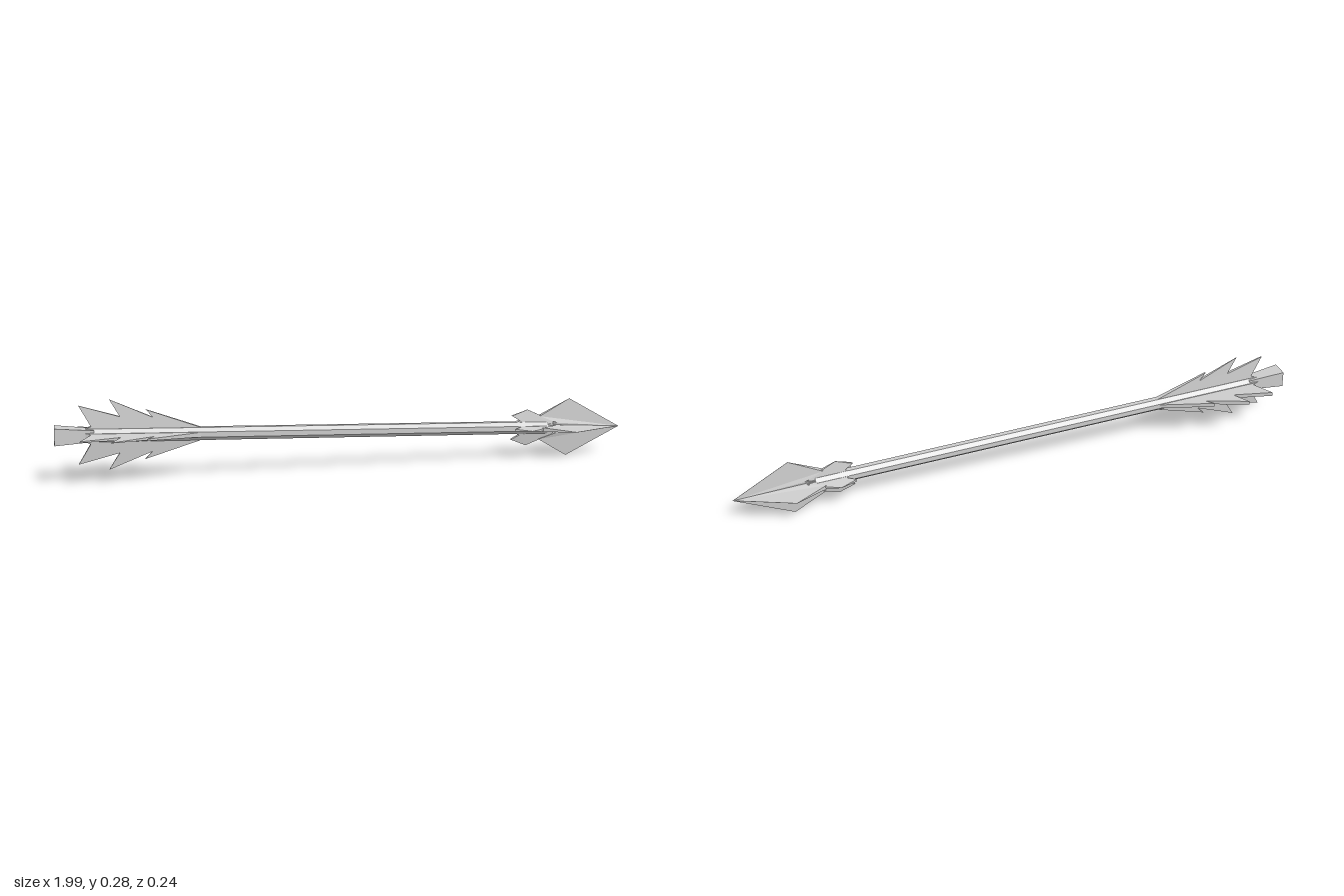
import * as THREE from 'three';

const material = new THREE.MeshStandardMaterial({ color: 0xcccccc, flatShading: true, side: THREE.DoubleSide });

function part(name, geometry) {
  const mesh = new THREE.Mesh(geometry, material);
  mesh.name = name;
  return mesh;
}

// Flat blade in the (length, radius) plane; halfThickness(x, r) shapes its section.
function bladeGeometry(outline, halfThickness) {
  const shape = new THREE.Shape(outline.map(([x, r]) => new THREE.Vector2(x, r)));
  const geometry = new THREE.ExtrudeGeometry(shape, { depth: 2, bevelEnabled: false });
  const p = geometry.attributes.position;
  for (let i = 0; i < p.count; i++) {
    p.setZ(i, (p.getZ(i) - 1) * halfThickness(p.getX(i), p.getY(i)));
  }
  geometry.computeVertexNormals();
  return geometry;
}

// Four blades around the shaft: +y, +z, -y, -z.
function cross(name, makeGeometry) {
  const group = new THREE.Group();
  group.name = name + 's';
  for (let k = 0; k < 4; k++) {
    const mesh = part(name, makeGeometry(k));
    mesh.rotation.x = k * Math.PI / 2;
    group.add(mesh);
  }
  return group;
}

// Prism along x from x0 to x1, with flat-to-flat half widths h0 and h1.
function prism(sides, x0, x1, h0, h1) {
  const c = Math.cos(Math.PI / sides);
  const geometry = new THREE.CylinderGeometry(h1 / c, h0 / c, x1 - x0, sides);
  geometry.rotateY(Math.PI / sides);
  geometry.rotateZ(-Math.PI / 2);
  return geometry.translate((x0 + x1) / 2, 0, 0);
}

export function createModel() {
  const arrow = new THREE.Group();
  arrow.name = 'arrow';

  arrow.add(part('shaft', prism(8, -0.95, 0.72, 0.022, 0.021)));
  arrow.add(part('nock', prism(4, -0.999, -0.87, 0.029, 0.019)));

  // Saw-toothed feathers; the one on the -z side keeps an even thickness.
  const feather = [
    [-0.5, 0], [-0.51, 0.02], [-0.7, 0.085], [-0.675, 0.058], [-0.82, 0.12],
    [-0.785, 0.062], [-0.92, 0.1], [-0.88, 0.03], [-0.92, 0.012], [-0.92, 0],
  ];
  arrow.add(cross('feather', (k) => bladeGeometry(feather,
    (x, r) => (k === 3 ? 0.007 : 0.01 * Math.max(0.08, 1 - r / 0.122)))));

  // Small barbs behind the head
  const barb = [
    [0.75, 0], [0.74, 0.024], [0.645, 0.065], [0.588, 0.043], [0.617, 0.026], [0.59, 0.014], [0.59, 0],
  ];
  arrow.add(cross('barb', () => bladeGeometry(barb,
    (x, r) => 0.012 * Math.max(0.06, 1 - r / 0.066))));

  // Four-bladed point, slightly taller than wide
  arrow.add(cross('headBlade', (k) => {
    const s = k % 2 ? 0.092 : 0.104;
    const head = [[0.996, 0], [0.8, s], [0.69, 0.042], [0.755, 0.018], [0.7, 0.01], [0.7, 0]];
    return bladeGeometry(head,
      (x, r) => 0.014 * Math.max(0.03, Math.min(1 - r / s, (0.996 - x) / 0.2)));
  }));

  // The arrow dips slightly toward its point.
  arrow.rotation.z = -0.035;
  arrow.position.y = 0.133;

  const model = new THREE.Group();
  model.add(arrow);
  return model;
}
